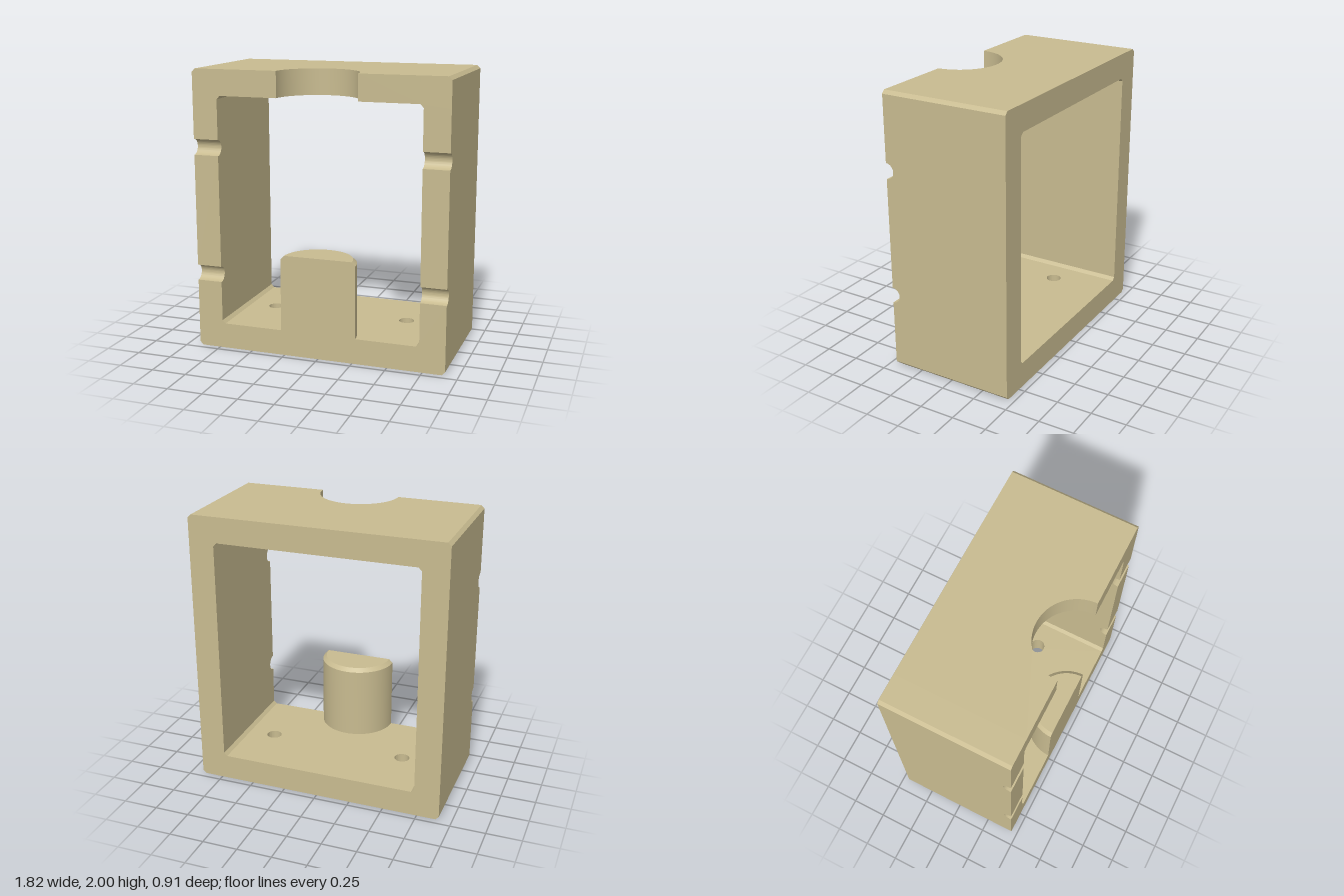
import * as THREE from 'three';
import { toCreasedNormals } from 'three/addons/utils/BufferGeometryUtils.js';

const W = 0.909, H = 2, D = 0.4545;   // half width, height, half depth
const T = 0.182, C = 0.023;           // wall thickness, corner chamfer
const IN = W - T;                     // inner half width
const SLAB = IN - C;                  // half width of the slabs between corner posts

export function createModel() {
  const group = new THREE.Group();
  const material = new THREE.MeshStandardMaterial({ color: 0xc8bb90 });

  const add = (name, geometry) => {
    const mesh = new THREE.Mesh(toCreasedNormals(geometry, 0.5), material);
    mesh.name = name;
    group.add(mesh);
    return mesh;
  };
  const extrude = (shape, depth) =>
    new THREE.ExtrudeGeometry(shape, { depth, bevelEnabled: false, curveSegments: 32 });

  // Horizontal slab in plan (shape y = -z), optionally with a round bite in its front edge
  const slabShape = (bite) => {
    const s = new THREE.Shape();
    s.moveTo(-SLAB, -D);
    if (bite) {
      s.lineTo(-bite, -D);
      s.absarc(0, -D, bite, Math.PI, 0, true);
    }
    s.lineTo(SLAB, -D);
    s.lineTo(SLAB, D);
    s.lineTo(-SLAB, D);
    s.closePath();
    return s;
  };

  // Floor with two screw holes
  const floor = slabShape(0);
  for (const side of [-1, 1]) {
    const hole = new THREE.Path();
    hole.absarc(side * 0.51, 0.03, 0.0545, 0, Math.PI * 2, true);
    floor.holes.push(hole);
  }
  add('floor', extrude(floor, T).rotateX(-Math.PI / 2));

  // Top with half-round cut-out
  add('top', extrude(slabShape(0.287), T).rotateX(-Math.PI / 2).translate(0, H - T, 0));

  // Side walls with two half-round grooves in the front edge (shape x = -z)
  const wall = new THREE.Shape();
  wall.moveTo(-D, T + C);
  wall.lineTo(D, T + C);
  wall.lineTo(D, H - T - C);
  wall.lineTo(-D, H - T - C);
  for (const y of [1.456, 0.547]) {
    wall.lineTo(-D, y + 0.056);
    wall.absarc(-D, y, 0.056, Math.PI / 2, -Math.PI / 2, true);
  }
  wall.closePath();
  add('leftWall', extrude(wall, T).rotateY(Math.PI / 2).translate(IN, 0, 0));
  add('rightWall', extrude(wall, T).rotateY(Math.PI / 2).translate(-W, 0, 0));

  // Chamfered corner posts joining the slabs and walls
  const corner = [[SLAB, 0], [W - C, 0], [W, C], [W, T + C], [IN, T + C], [SLAB, T]];
  for (const sx of [1, -1]) {
    for (const top of [false, true]) {
      const points = corner.map(([x, y]) => new THREE.Vector2(sx * x, top ? H - y : y));
      add((top ? 'top' : 'bottom') + (sx > 0 ? 'Left' : 'Right') + 'Corner',
        extrude(new THREE.Shape(points), 2 * D).translate(0, 0, -D));
    }
  }

  // Half-round boss on the floor with a chamfered top and a flat front
  const R = 0.273, bossTop = 0.729, bevel = 0.027;
  const profile = [[R, T], [R, bossTop - bevel], [R - bevel, bossTop], [0, bossTop]]
    .map(([x, y]) => new THREE.Vector2(x, y));
  add('boss', new THREE.LatheGeometry(profile, 48, Math.PI / 2, Math.PI).translate(0, 0, D));
  const face = new THREE.Shape([
    ...profile.slice(0, 3),
    ...profile.slice(0, 3).reverse().map((p) => new THREE.Vector2(-p.x, p.y)),
  ]);
  add('bossFront', new THREE.ShapeGeometry(face).translate(0, 0, D));

  return group;
}
